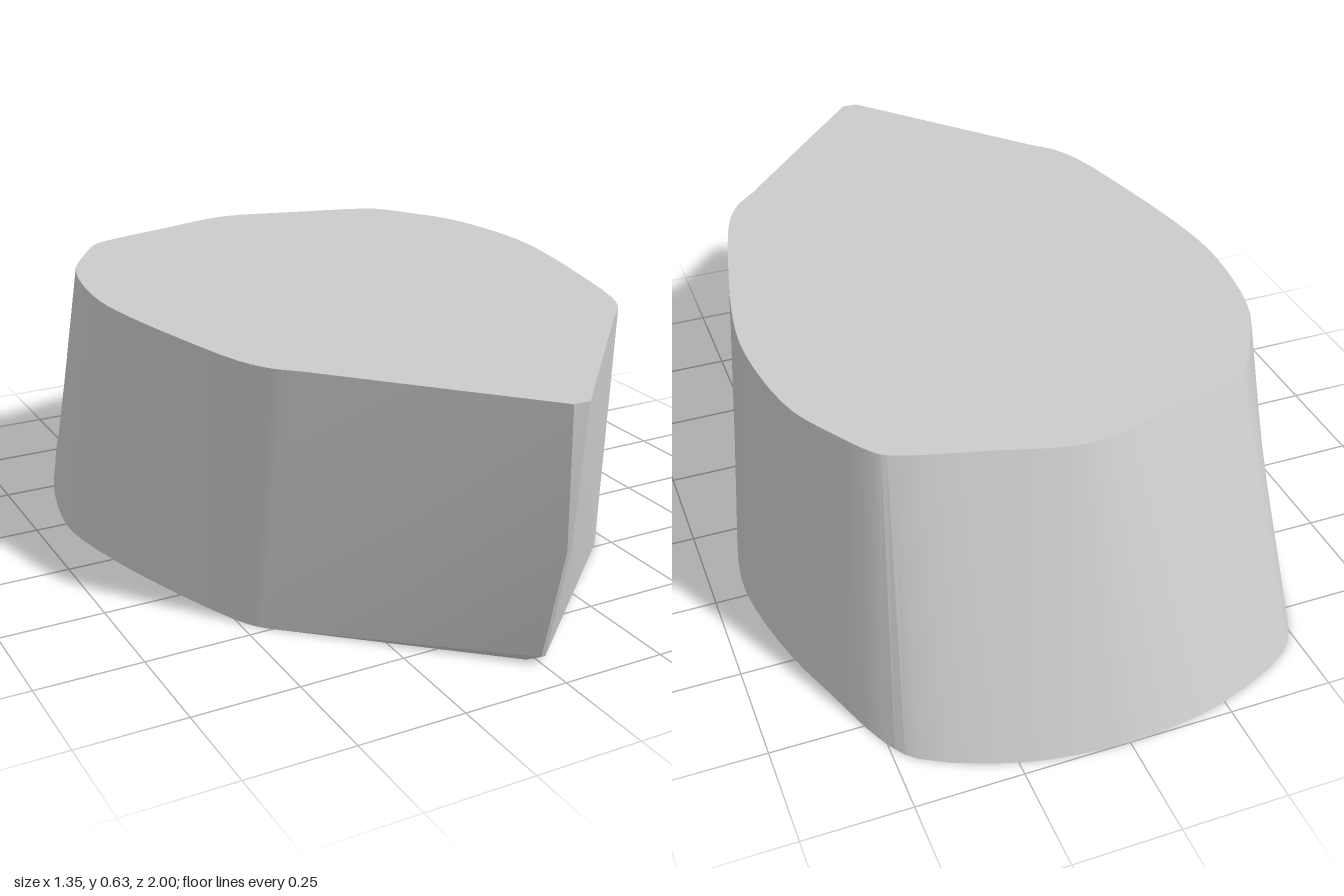
import * as THREE from 'three';
import { toCreasedNormals } from 'three/addons/utils/BufferGeometryUtils.js';

const HEIGHT = 0.63;

// Half outlines [x, z] from the bow shoulder to the middle of the stern
const deckOutline = [
  [0.4, 0.58], [0.45, 0.53], [0.49, 0.455], [0.545, 0.24], [0.585, 0.04], [0.6, -0.1], [0.588, -0.26],
  [0.555, -0.4], [0.5, -0.5], [0.435, -0.597], [0.4, -0.62], [0.2, -0.677], [0.06, -0.717], [0, -0.725],
];
const bottomOutline = [
  [0.455, 0.49], [0.475, 0.465], [0.5, 0.42], [0.58, 0.2], [0.637, 0], [0.672, -0.19], [0.665, -0.31],
  [0.625, -0.49], [0.575, -0.63], [0.505, -0.81], [0.45, -0.88], [0.24, -0.97], [0.08, -0.996], [0, -1],
];
// Narrow stem edge at the bow, from the bottom upwards
const stem = [[0.02, 0, 0.88], [0.005, 0.02, 0.915], [0.005, 0.3, 0.985], [0.02, HEIGHT, 1]]
  .map((p) => new THREE.Vector3(...p));

function smoothOutline(points, y) {
  const curve = new THREE.CatmullRomCurve3(points.map(([x, z]) => new THREE.Vector3(x, y, z)));
  return curve.getPoints((points.length - 1) * 3);
}

// Mesh from triangles on the +x half, mirrored onto the -x half
function mirroredMesh(name, triangles) {
  const data = [];
  for (const [a, b, c] of triangles) {
    for (const v of [a, b, c]) data.push(v.x, v.y, v.z);
    for (const v of [a, c, b]) data.push(-v.x, v.y, v.z);
  }
  const geometry = new THREE.BufferGeometry();
  geometry.setAttribute('position', new THREE.Float32BufferAttribute(data, 3));
  const mesh = new THREE.Mesh(
    toCreasedNormals(geometry, 0.45),
    new THREE.MeshStandardMaterial({ color: 0xcccccc })
  );
  mesh.name = name;
  return mesh;
}

export function createModel() {
  const group = new THREE.Group();
  group.name = 'hullBlock';
  const deck = smoothOutline(deckOutline, HEIGHT);
  const bottom = smoothOutline(bottomOutline, 0);
  const onCentre = (p) => new THREE.Vector3(0, p.y, p.z);

  // Sides and raked stern
  const sides = [];
  for (let i = 0; i < deck.length - 1; i++) {
    sides.push([bottom[i], bottom[i + 1], deck[i + 1]], [bottom[i], deck[i + 1], deck[i]]);
  }
  // Bow cheeks fan out from the lower shoulder to the stem
  for (let i = 0; i < 3; i++) sides.push([stem[i], bottom[0], stem[i + 1]]);
  sides.push([stem[3], bottom[0], deck[0]]);
  group.add(mirroredMesh('hullSides', sides));

  // Stem face
  const stemFace = [];
  for (let i = 0; i < 3; i++) {
    const low = onCentre(stem[i]), high = onCentre(stem[i + 1]);
    stemFace.push([low, stem[i], stem[i + 1]], [low, stem[i + 1], high]);
  }
  group.add(mirroredMesh('stem', stemFace));

  // Flat deck and bottom
  const fan = (points, y) => points.slice(1).map((p, i) => [new THREE.Vector3(0, y, 0), points[i], p]);
  const deckFan = fan([onCentre(stem[3]), stem[3], ...deck], HEIGHT);
  const bottomFan = fan([onCentre(stem[0]), stem[0], ...bottom], 0);
  group.add(mirroredMesh('deck', deckFan));
  group.add(mirroredMesh('bottom', bottomFan.map(([a, b, c]) => [a, c, b])));
  return group;
}
